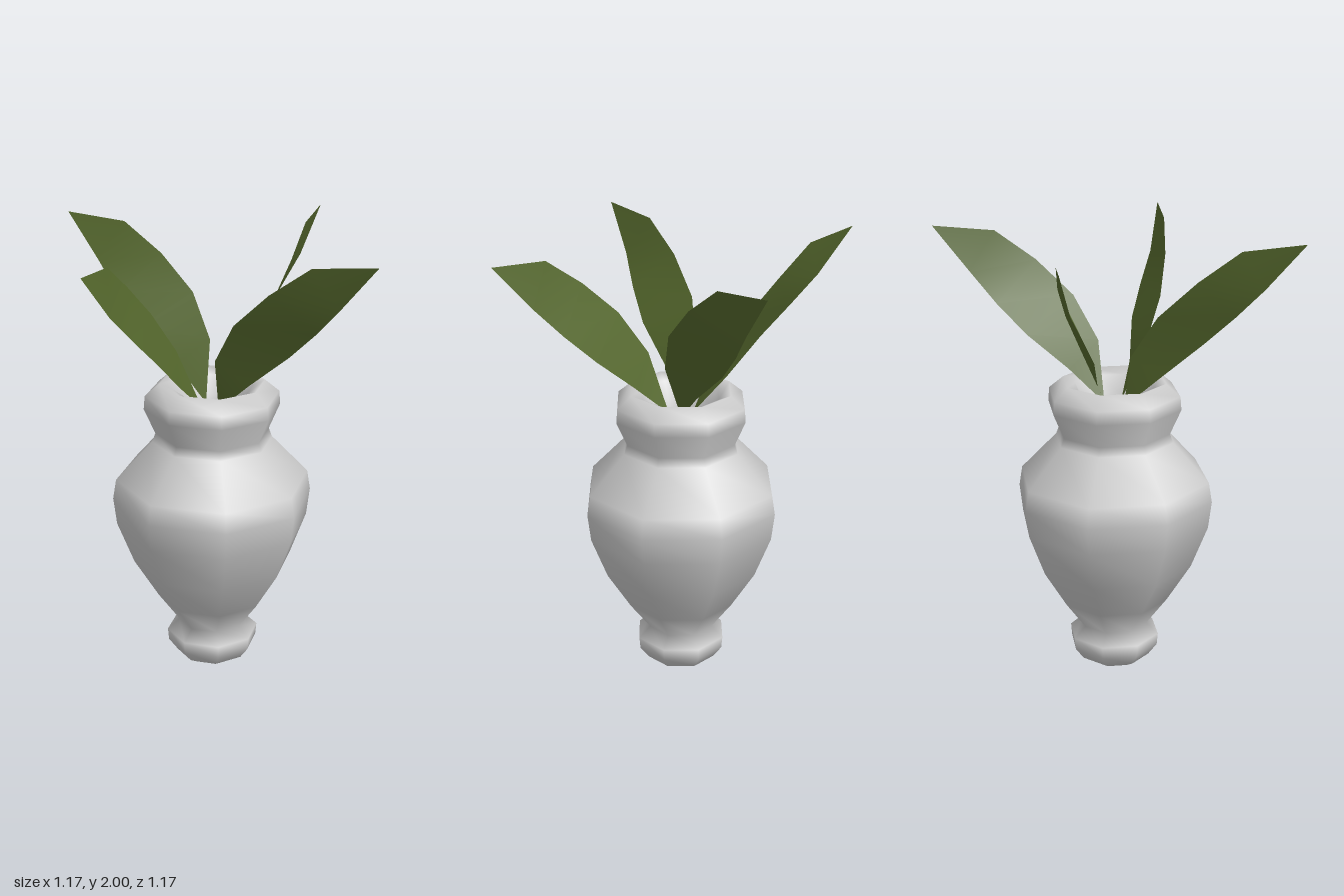
import * as THREE from 'three';

// Leaf outline: long edges from base to tip, paired across the blade
const BASE = [0.022, 1.24, 0.047];
const TIP = [0.585, 2.0, 0.585];
const LOWER_EDGE = [[0.138, 1.385, 0.163], [0.292, 1.54, 0.267], [0.385, 1.67, 0.37], [0.461, 1.8, 0.47]];
const UPPER_EDGE = [[-0.01, 1.5, 0.157], [0.053, 1.69, 0.27], [0.182, 1.845, 0.376], [0.339, 1.975, 0.467]];

function leafGeometry() {
  const n = LOWER_EDGE.length;
  const points = [BASE];
  for (let i = 0; i < n; i++) points.push(LOWER_EDGE[i], UPPER_EDGE[i]);
  points.push(TIP);

  // Strip of triangles, with the front towards the middle of the plant
  const index = [0, 2, 1];
  for (let i = 0; i < n - 1; i++) {
    const a = 1 + 2 * i;
    index.push(a, a + 1, a + 2, a + 1, a + 3, a + 2);
  }
  index.push(2 * n - 1, 2 * n, 2 * n + 1);

  const geometry = new THREE.BufferGeometry();
  geometry.setAttribute('position', new THREE.Float32BufferAttribute(points.flat(), 3));
  geometry.setIndex(index);
  geometry.computeVertexNormals();
  return geometry;
}

export function createModel() {
  const model = new THREE.Group();
  model.name = 'pottedPlant';

  // Eight-sided vase: foot, belly, neck, rim, then the inside down to its floor
  const profile = [
    [0, 0], [0.115, 0], [0.165, 0.03], [0.205, 0.085], [0.21, 0.14], [0.155, 0.19],
    [0.25, 0.32], [0.36, 0.5], [0.435, 0.695], [0.45, 0.82], [0.435, 0.91],
    [0.27, 1.085], [0.255, 1.125], [0.305, 1.24], [0.3, 1.3], [0.235, 1.355],
    [0.18, 1.33], [0.14, 1.25], [0.09, 1.14], [0.12, 1.06], [0, 1.03],
  ].map(([r, y]) => new THREE.Vector2(r, y));
  const vase = new THREE.Mesh(
    new THREE.LatheGeometry(profile, 8),
    new THREE.MeshStandardMaterial({ color: 0xcccccc, side: THREE.DoubleSide }),
  );
  vase.name = 'vase';
  model.add(vase);

  // Four equal leaves spread round the mouth
  const leaves = new THREE.Group();
  leaves.name = 'leaves';
  const geometry = leafGeometry();
  const green = new THREE.MeshStandardMaterial({ color: 0x55682d, side: THREE.DoubleSide });
  for (let i = 0; i < 4; i++) {
    const leaf = new THREE.Mesh(geometry, green);
    leaf.name = `leaf${i + 1}`;
    leaf.rotation.y = (i * Math.PI) / 2;
    leaves.add(leaf);
  }
  model.add(leaves);
  return model;
}
